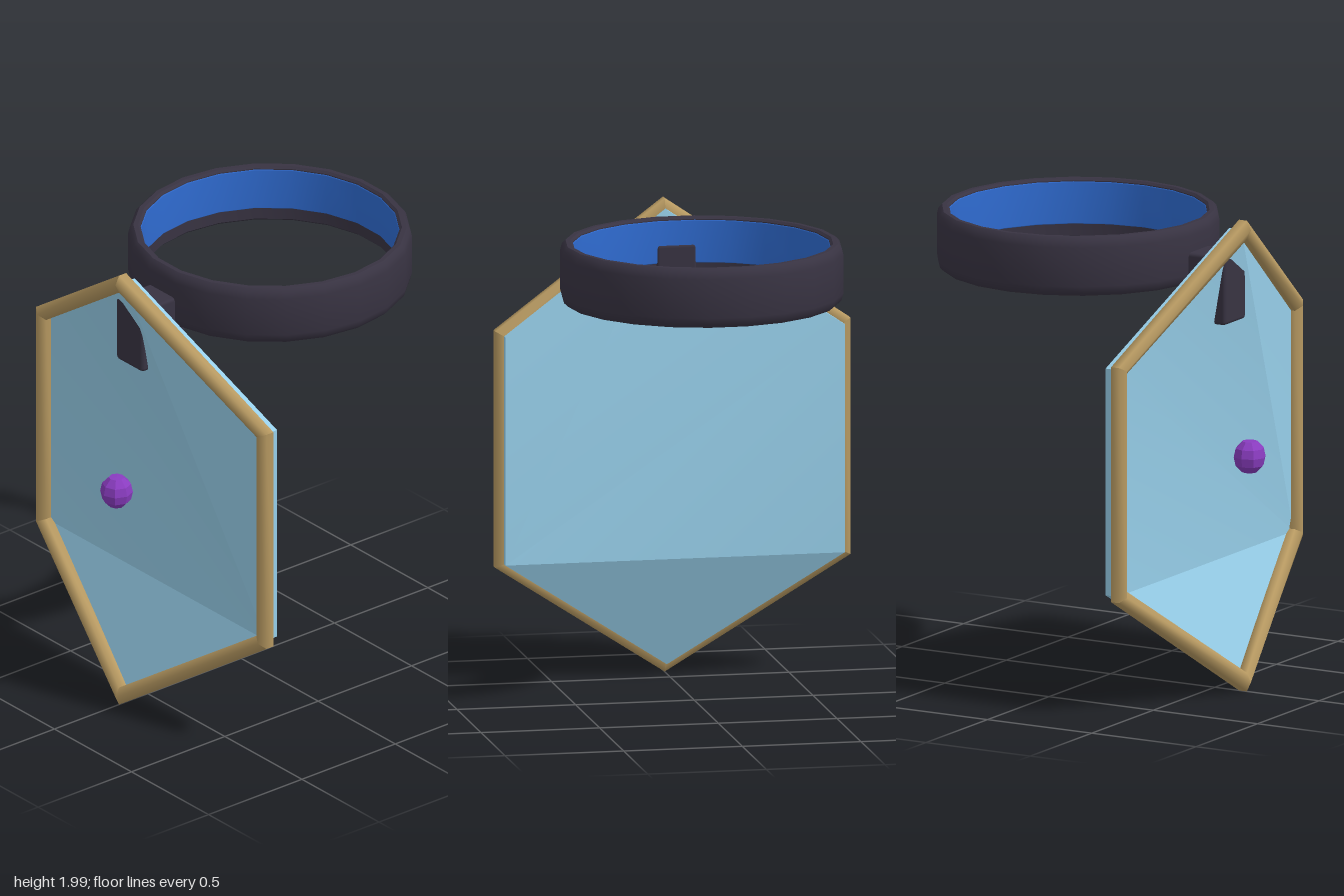
import * as THREE from 'three';
import { toCreasedNormals } from 'three/addons/utils/BufferGeometryUtils.js';
import { RoundedBoxGeometry } from 'three/addons/geometries/RoundedBoxGeometry.js';

const paint = (color, extra = {}) => {
  const m = new THREE.MeshStandardMaterial(extra);
  m.color.set(color);
  return m;
};

function addPart(group, name, geometry, material) {
  const mesh = new THREE.Mesh(geometry, material);
  mesh.name = name;
  group.add(mesh);
  return mesh;
}

function meshFrom(points, index) {
  const g = new THREE.BufferGeometry();
  g.setAttribute('position', new THREE.Float32BufferAttribute(points.flat(), 3));
  g.setIndex(index);
  g.computeVertexNormals();
  return g;
}

// Bent hexagon outline, counter-clockwise from the lower right corner.
// lift is 1 where the outline bends forward (top and bottom tips).
const OUTLINE = [
  { x: 0.715, y: 0.52, lift: 0 }, { x: 0.715, y: 1.48, lift: 0 },
  { x: 0, y: 1.957, lift: 1 }, { x: -0.715, y: 1.48, lift: 0 },
  { x: -0.715, y: 0.52, lift: 0 }, { x: 0, y: 0.043, lift: 1 },
];
const BEND = 0.172;

// Thin folded pane, both faces fanned from the lower right corner
function paneGeometry() {
  const n = OUTLINE.length;
  const layer = (z) => OUTLINE.map((p) => [p.x, p.y, z + BEND * p.lift]);
  const index = [];
  for (let i = 1; i < n - 1; i++) index.push(0, i, i + 1, n, n + i + 1, n + i);
  for (let i = 0; i < n; i++) {
    const j = (i + 1) % n;
    index.push(i, n + i, n + j, i, n + j, j);
  }
  return toCreasedNormals(meshFrom([...layer(0.455), ...layer(0.398)], index), 0.26);
}

// Six-sided frame section, mitred at outline corner i
function frameRing(i) {
  const n = OUTLINE.length, r = 0.038;
  const at = (k) => new THREE.Vector2(OUTLINE[(k + n) % n].x, OUTLINE[(k + n) % n].y);
  const outward = (a, b) => {
    const d = b.clone().sub(a).normalize();
    return new THREE.Vector2(d.y, -d.x);
  };
  const n1 = outward(at(i - 1), at(i)), n2 = outward(at(i), at(i + 1));
  const miter = n1.clone().add(n2).divideScalar(1 + n1.dot(n2));
  const p = OUTLINE[i % n];
  return Array.from({ length: 6 }, (_, k) => {
    const a = (k * Math.PI) / 3 + Math.PI / 6;
    const c = Math.cos(a) * r;
    return [p.x + miter.x * c, p.y + miter.y * c, 0.463 + BEND * p.lift + Math.sin(a) * r];
  });
}

function frameBar(i) {
  const index = [];
  for (let k = 0; k < 6; k++) {
    const l = (k + 1) % 6;
    index.push(k, 6 + l, l, k, 6 + k, 6 + l);
  }
  // Reverse so that faces point away from the bar's axis
  return meshFrom([...frameRing(i), ...frameRing((i + 1) % 6)], index.reverse());
}

function lathe(points, sides) {
  return new THREE.LatheGeometry(points.map(([x, y]) => new THREE.Vector2(x, y)), sides);
}

export function createModel() {
  const model = new THREE.Group();
  model.name = 'maskWithHeadband';
  const dark = paint(0x383342);
  const gold = paint(0xb89a62, { side: THREE.DoubleSide });

  // Pane and its frame
  addPart(model, 'pane', paneGeometry(), paint(0x97cfea));
  const frame = new THREE.Group();
  frame.name = 'frame';
  for (let i = 0; i < 6; i++) addPart(frame, 'frameBar', frameBar(i), gold);
  model.add(frame);

  // Headband with chamfered rims
  const bandProfile = [
    [0.535, 1.722], [0.545, 1.713], [0.565, 1.713], [0.58, 1.728], [0.587, 1.755],
    [0.587, 1.92], [0.58, 1.948], [0.565, 1.963], [0.545, 1.963], [0.535, 1.954], [0.535, 1.722],
  ];
  const band = addPart(model, 'headband', toCreasedNormals(lathe(bandProfile, 22), 0.7), dark);

  // Coloured lining inside the headband
  const lining = addPart(model, 'headbandLining',
    lathe([[0.535, 1.95], [0.531, 1.946], [0.531, 1.775], [0.535, 1.771]], 22),
    paint(0x2f6bd0, { side: THREE.DoubleSide }));
  for (const part of [band, lining]) {
    part.rotation.y = Math.PI / 2;
    part.position.z = -0.155;
  }

  // Bracket joining the headband to the pane
  addPart(model, 'bracket', new RoundedBoxGeometry(0.172, 0.29, 0.235, 1, 0.015), dark)
    .position.set(0, 1.705, 0.483);

  // Faceted gem floating before the pane
  const gemProfile = [[0, -0.067], [0.032, -0.065], [0.06, -0.036], [0.068, 0],
    [0.06, 0.036], [0.032, 0.065], [0, 0.067]];
  addPart(model, 'gem', lathe(gemProfile, 8), paint(0x8a3cc0, { flatShading: true }))
    .position.set(0, 1, 0.667);

  return model;
}
